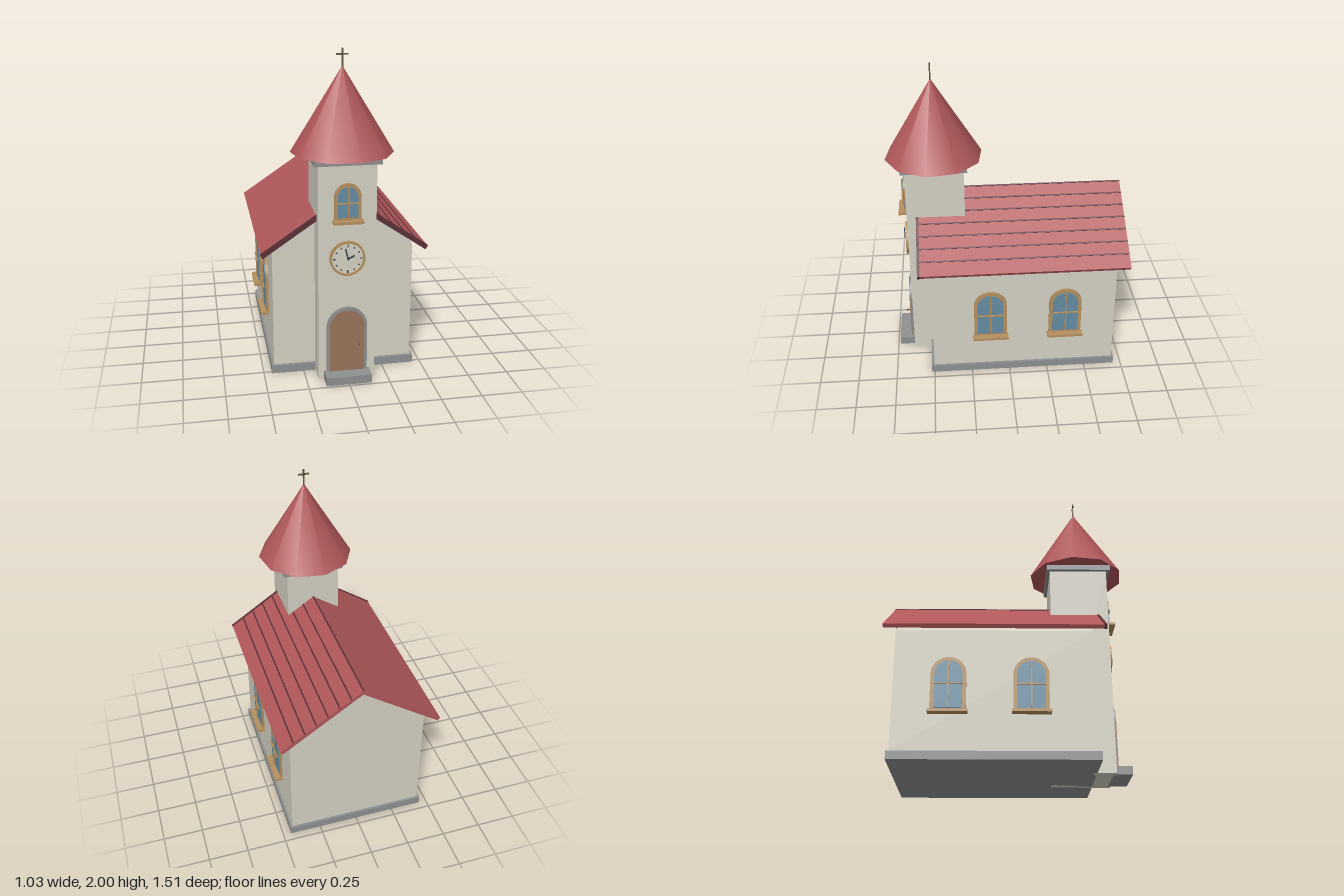
import * as THREE from 'three';

const mat = (name, color, side = THREE.FrontSide) => {
  const m = new THREE.MeshStandardMaterial({ color, side });
  m.name = name;
  return m;
};

export function createModel() {
  const wall = mat('cream plaster', 0xd3d0c2);
  const red = mat('red roof', 0xb0575a);
  const darkRed = mat('dark roof trim', 0x5a3035);
  const stone = mat('grey stone', 0x8e8f90);
  const tan = mat('tan wood', 0xb48f5e);
  const glass = mat('blue glass', 0x648ca2);
  const wood = mat('brown door', 0x98735a);
  const dark = mat('dark iron', 0x33414a);
  const bronze = mat('bronze', 0x5f5239);

  const root = new THREE.Group();
  root.name = 'church';

  const add = (parent, name, geo, material, x = 0, y = 0, z = 0) => {
    const m = new THREE.Mesh(geo, material);
    m.name = name;
    m.position.set(x, y, z);
    parent.add(m);
    return m;
  };
  // Box given by its limits on each axis
  const box = (parent, name, material, x0, x1, y0, y1, z0, z1) =>
    add(parent, name, new THREE.BoxGeometry(x1 - x0, y1 - y0, z1 - z0), material,
      (x0 + x1) / 2, (y0 + y1) / 2, (z0 + z1) / 2);
  const extrude = (shape, depth) =>
    new THREE.ExtrudeGeometry(shape, { depth, bevelEnabled: false, curveSegments: 16 });
  const polygon = (pts) => new THREE.Shape(pts.map(([x, y]) => new THREE.Vector2(x, y)));

  // Round-headed opening: half width, sill height, spring height
  const archPath = (Type, hw, y0, spring) => {
    const s = new Type();
    s.moveTo(-hw, y0);
    s.lineTo(hw, y0);
    s.lineTo(hw, spring);
    s.absarc(0, spring, hw, 0, Math.PI, false);
    s.lineTo(-hw, y0);
    return s;
  };
  const archFrame = (hw, y0, spring, innerHw, innerY0, depth) => {
    const s = archPath(THREE.Shape, hw, y0, spring);
    s.holes.push(archPath(THREE.Path, innerHw, innerY0, spring));
    return extrude(s, depth);
  };

  // Nave
  box(root, 'navePlinth', stone, -0.45, 0.45, 0, 0.05, -0.7, 0.52);
  box(root, 'naveWalls', wall, -0.435, 0.435, 0.05, 0.8, -0.685, 0.5);
  add(root, 'gable', extrude(polygon([[-0.435, 0.8], [0.435, 0.8], [0, 1.125]]), 1.185), wall, 0, 0, -0.685);

  // Roof slopes with dark front edge boards
  const ridgeY = 1.155, eaveX = 0.51, slope = 0.676;
  for (const s of [1, -1]) {
    const side = s > 0 ? 'left' : 'right';
    const slab = polygon([[0, ridgeY], [s * eaveX, 0.81], [s * 0.497, 0.788], [0, 1.128]]);
    add(root, side + 'RoofSlope', extrude(slab, 1.318), red, 0, 0, -0.755);
    const board = polygon([[0, ridgeY + 0.004], [s * 0.513, 0.812], [s * 0.498, 0.786], [0, 1.124]]);
    add(root, side + 'EdgeBoard', extrude(board, 0.016), darkRed, 0, 0, 0.562);
  }
  // Seams on one slope
  for (let i = 0; i <= 6; i++) {
    const x = i * 0.0717;
    const seam = add(root, 'roofSeam', new THREE.BoxGeometry(0.009, 0.006, 1.318), darkRed,
      x, ridgeY - slope * x, -0.096);
    seam.rotation.z = -Math.atan(slope);
  }

  // Tower and spire
  box(root, 'tower', wall, -0.175, 0.175, 0, 1.36, 0.265, 0.635);
  box(root, 'towerCornice', stone, -0.2, 0.2, 1.355, 1.39, 0.245, 0.66);
  add(root, 'spire', new THREE.ConeGeometry(0.31, 0.51, 10, 1, false, 0.165), red, 0, 1.645, 0.45);
  box(root, 'crossPost', bronze, -0.005, 0.005, 1.88, 2, 0.446, 0.454);
  box(root, 'crossArm', bronze, -0.035, 0.035, 1.961, 1.97, 0.446, 0.454);

  // Arched window facing local +z, with frame, glass, bars and sill
  const makeWindow = (name, hw, y0, spring, rim, barY, sillHw, sillDepth) => {
    const g = new THREE.Group();
    g.name = name;
    const inner = hw - rim, innerY = y0 + 0.015, top = spring + inner;
    add(g, 'frame', archFrame(hw, y0, spring, inner, innerY, 0.014), tan);
    add(g, 'glass', extrude(archPath(THREE.Shape, inner, innerY, spring), 0.009), glass, 0, 0, 0.011);
    box(g, 'uprightBar', tan, -0.004, 0.004, innerY, top, 0.022, 0.031);
    box(g, 'crossBar', tan, -inner, inner, barY - 0.004, barY + 0.004, 0.022, 0.031);
    box(g, 'sill', tan, -sillHw, sillHw, y0 - 0.017, y0, 0, sillDepth);
    root.add(g);
    return g;
  };
  makeWindow('towerWindow', 0.08, 1.026, 1.166, 0.02, 1.13, 0.09, 0.055).position.z = 0.635;
  for (const s of [1, -1]) {
    for (const z of [0.125, -0.36]) {
      const w = makeWindow('sideWindow', 0.105, 0.289, 0.516, 0.023, 0.45, 0.115, 0.053);
      w.position.set(s * 0.435, 0, z);
      w.rotation.y = s * Math.PI / 2;
    }
  }

  // Clock
  const clock = new THREE.Group();
  clock.name = 'clock';
  clock.position.set(0, 0.785, 0.635);
  root.add(clock);
  const ring = new THREE.Shape().absarc(0, 0, 0.108, 0, Math.PI * 2, false);
  ring.holes.push(new THREE.Path().absarc(0, 0, 0.095, 0, Math.PI * 2, true));
  add(clock, 'rim', extrude(ring, 0.02), tan);
  add(clock, 'dial', new THREE.CylinderGeometry(0.096, 0.096, 0.012, 32), wall, 0, 0, 0.006)
    .rotation.x = Math.PI / 2;
  // Bar along a clockwise angle from twelve, between two radii
  const hand = (name, angle, r0, r1, width, z) => {
    const r = (r0 + r1) / 2;
    add(clock, name, new THREE.BoxGeometry(width, r1 - r0, 0.006), dark,
      Math.sin(angle) * r, Math.cos(angle) * r, z).rotation.z = -angle;
  };
  for (let i = 0; i < 12; i++) {
    hand('hourMark', i * Math.PI / 6, 0.073, i % 3 ? 0.083 : 0.088, 0.006, 0.017);
  }
  hand('hourHand', 1.08, -0.005, 0.045, 0.009, 0.024);
  hand('minuteHand', -0.23, -0.005, 0.068, 0.008, 0.03);

  // Door and step
  add(root, 'doorSurround', archFrame(0.124, 0.05, 0.346, 0.106, 0.051, 0.016), stone, 0, 0, 0.635);
  add(root, 'door', extrude(archPath(THREE.Shape, 0.106, 0.055, 0.346), 0.02), wood, 0, 0, 0.637);
  add(root, 'doorKnob', new THREE.SphereGeometry(0.006, 10, 8), bronze, 0.07, 0.24, 0.678);
  box(root, 'doorKnobStem', bronze, 0.068, 0.072, 0.238, 0.242, 0.655, 0.678);
  box(root, 'doorStep', stone, -0.14, 0.14, 0, 0.052, 0.62, 0.735);

  return root;
}
